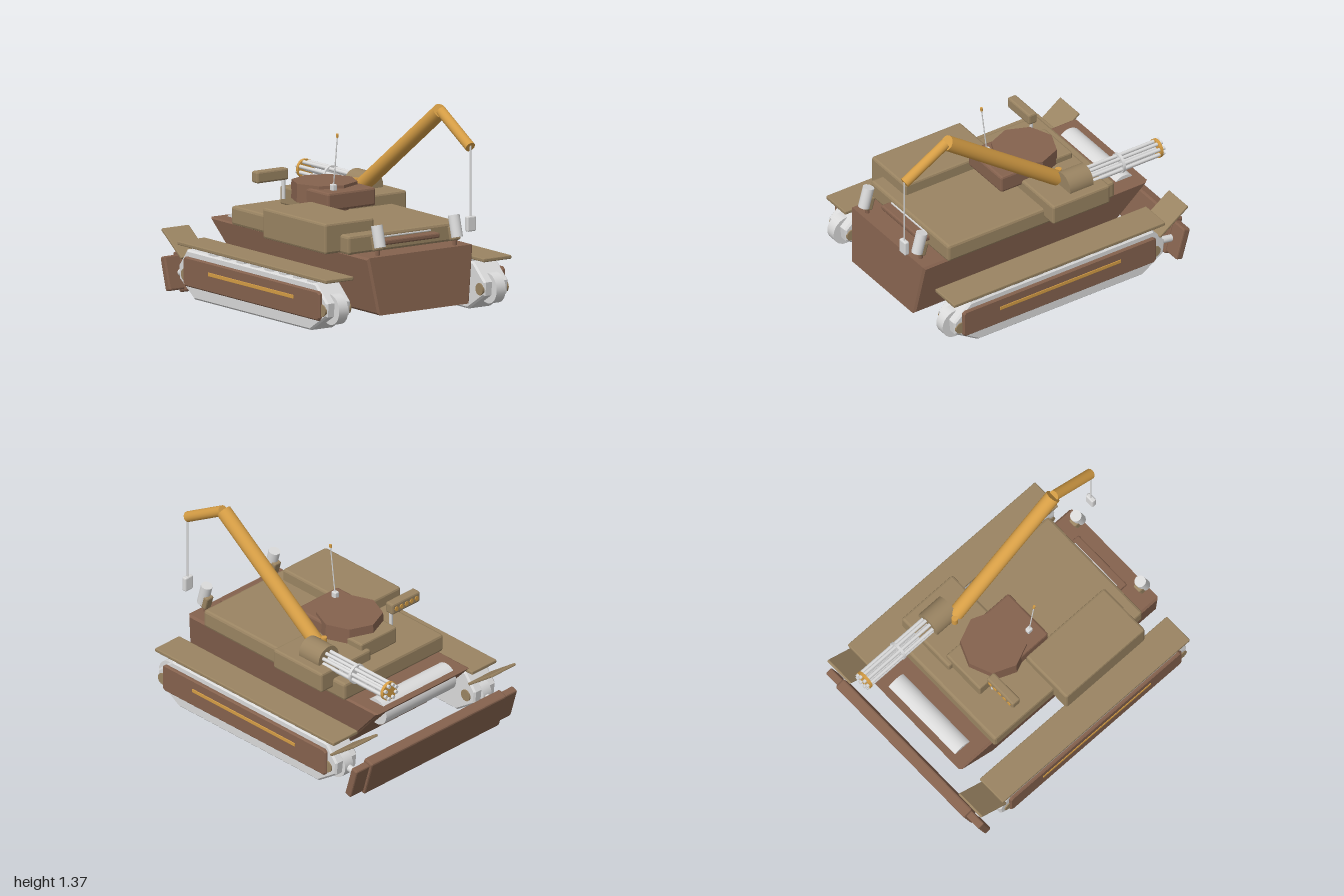
import * as THREE from 'three';
import { RoundedBoxGeometry } from 'three/addons/geometries/RoundedBoxGeometry.js';

export function createModel() {
  const model = new THREE.Group();
  const mat = (name, color) => Object.assign(new THREE.MeshStandardMaterial({ color }), { name });
  const brown = mat('brown', 0x85624e);
  const tan = mat('tan', 0x9a8462);
  const steel = mat('steel', 0xdadada);
  const yellow = mat('yellow', 0xd59d45);

  const add = (name, geo, material, parent = model) => {
    const m = new THREE.Mesh(geo, material);
    m.name = name;
    parent.add(m);
    return m;
  };

  // chamfered box from its minimum and maximum corners
  const box = (name, material, [x0, y0, z0], [x1, y1, z1], bevel = 0.012, parent = model) => {
    const s = [x1 - x0, y1 - y0, z1 - z0];
    const g = new RoundedBoxGeometry(...s, 1, Math.min(bevel, Math.min(...s) * 0.3));
    g.computeVertexNormals();
    const m = add(name, g, material, parent);
    m.position.set((x0 + x1) / 2, (y0 + y1) / 2, (z0 + z1) / 2);
    return m;
  };

  // cylinder between two points
  const rod = (name, material, a, b, r, sides = 20, parent = model) => {
    const p = new THREE.Vector3(...a), q = new THREE.Vector3(...b);
    const m = add(name, new THREE.CylinderGeometry(r, r, p.distanceTo(q), sides), material, parent);
    m.position.copy(p).add(q).multiplyScalar(0.5);
    m.quaternion.setFromUnitVectors(new THREE.Vector3(0, 1, 0), q.sub(p).normalize());
    return m;
  };

  // side profile of (z, y) points, extruded across x with a bevel
  const slab = (points, width, bevel) => {
    const shape = new THREE.Shape(points.map(([z, y]) => new THREE.Vector2(z, y)));
    const depth = width - 2 * bevel;
    return new THREE.ExtrudeGeometry(shape, {
      depth, bevelEnabled: true, bevelSegments: 1,
      bevelSize: bevel, bevelThickness: bevel, bevelOffset: -bevel,
    }).translate(0, 0, -depth / 2).rotateY(-Math.PI / 2);
  };

  // hull, narrower at the bottom
  const hull = slab([[0.93, 0.115], [0.89, 0.49], [-0.85, 0.49], [-0.52, 0.115]], 0.84, 0.015);
  const pos = hull.attributes.position;
  for (let i = 0; i < pos.count; i++) {
    pos.setX(i, pos.getX(i) * (0.86 + 0.14 * (pos.getY(i) - 0.115) / 0.375));
  }
  hull.computeVertexNormals();
  add('hull', hull, brown);

  // upper deck and its raised boxes
  box('deck', tan, [-0.45, 0.485, -0.575], [0.445, 0.61, 0.72], 0.018);
  box('rightDeckBox', tan, [-0.57, 0.49, -0.06], [-0.18, 0.69, 0.63], 0.015);
  box('gunPlatform', tan, [0.1, 0.545, -0.47], [0.55, 0.685, -0.025], 0.015);
  box('frontRail', brown, [-0.23, 0.535, 0.7], [0.23, 0.57, 0.785], 0.01);
  box('frontRailStrip', steel, [-0.2, 0.575, 0.715], [0.2, 0.585, 0.728], 0.002);

  // rear drum set into the hull
  rod('rearDrum', steel, [-0.315, 0.425, -0.735], [0.315, 0.425, -0.735], 0.092, 28);

  // central turret
  rod('turretRing', brown, [0, 0.6, -0.17], [0, 0.69, -0.17], 0.17, 24);
  const octagon = add('turretTop', new THREE.CylinderGeometry(0.215, 0.22, 0.12, 8).toNonIndexed(), brown);
  octagon.geometry.computeVertexNormals();
  octagon.position.set(0, 0.73, -0.17);
  box('turretFront', brown, [-0.19, 0.65, -0.14], [0.19, 0.77, 0.135], 0.015);
  box('turretRear', tan, [-0.16, 0.61, -0.44], [0.16, 0.73, -0.2]);

  // launcher pod with rear openings
  box('pod', tan, [-0.42, 0.788, -0.39], [-0.17, 0.865, -0.325]);
  rod('podPost', steel, [-0.19, 0.66, -0.355], [-0.19, 0.8, -0.355], 0.012, 12);
  for (let i = 0; i < 5; i++) {
    const x = -0.385 + i * 0.045;
    rod('podTube', yellow, [x, 0.826, -0.38], [x, 0.826, -0.395], 0.016, 12);
  }

  // antenna
  box('antennaBase', steel, [-0.108, 0.765, 0.035], [-0.074, 0.81, 0.075], 0.006);
  rod('antenna', steel, [-0.091, 0.8, 0.058], [-0.091, 1.125, 0.098], 0.004, 8);
  rod('antennaTip', yellow, [-0.091, 1.122, 0.097], [-0.091, 1.145, 0.1], 0.009, 10);

  // rotary gun
  const gun = new THREE.Group();
  gun.name = 'rotaryGun';
  model.add(gun);
  const gx = 0.397, gy = 0.702;
  rod('gunHousing', tan, [gx, gy, -0.38], [gx, gy, -0.2], 0.09, 24, gun);
  for (let i = 0; i < 8; i++) {
    const a = i * Math.PI / 4 + Math.PI / 8;
    const x = gx + 0.05 * Math.cos(a), y = gy + 0.05 * Math.sin(a);
    rod('barrel', steel, [x, y, -0.36], [x, y, -0.96], 0.0125, 12, gun);
  }
  rod('barrelCore', steel, [gx, gy, -0.36], [gx, gy, -0.93], 0.014, 12, gun);
  rod('barrelClamp', steel, [gx, gy, -0.63], [gx, gy, -0.648], 0.068, 24, gun);
  rod('muzzleRing', yellow, [gx, gy, -0.922], [gx, gy, -0.943], 0.065, 24, gun);

  // crane with hanging weight
  const cx = 0.328;
  rod('craneBoom', yellow, [cx, 0.72, -0.2], [cx, 1.335, 0.652], 0.051, 24);
  rod('craneJib', yellow, [cx, 1.335, 0.66], [cx, 1.15, 0.98], 0.035, 20);
  rod('cranePin', yellow, [cx - 0.03, 0.69, -0.235], [cx - 0.03, 0.76, -0.235], 0.022, 12);
  rod('craneCable', steel, [cx, 1.16, 0.983], [cx, 0.69, 0.983], 0.006, 8);
  box('craneWeight', steel, [cx - 0.034, 0.6, 0.966], [cx + 0.034, 0.7, 1], 0.008);

  // blade across the rear, leaning back
  const blade = new THREE.Group();
  blade.name = 'rearBlade';
  box('bladeCentre', brown, [-0.61, -0.132, -0.038], [0.61, 0.132, 0.038], 0.012, blade);
  box('bladeEnds', brown, [-0.725, -0.115, -0.022], [0.725, 0.11, 0.03], 0.01, blade);
  blade.position.set(0, 0.142, -0.922);
  blade.rotation.x = -0.28;
  model.add(blade);

  // parts repeated on both sides
  const trackBody = slab([[0.73, 0.335], [0.86, 0.22], [0.85, 0.13], [0.67, 0.02],
    [-0.61, 0.02], [-0.77, 0.13], [-0.78, 0.22], [-0.69, 0.335]], 0.19, 0.012);
  const skirt = slab([[0.8, 0.12], [0.8, 0.275], [0.78, 0.292], [-0.68, 0.292],
    [-0.7, 0.275], [-0.7, 0.12], [-0.68, 0.1], [0.78, 0.1]], 0.03, 0.008);
  for (const s of [1, -1]) {
    const side = new THREE.Group();
    side.name = s > 0 ? 'leftTrack' : 'rightTrack';
    model.add(side);
    const span = (name, m, xa, xb, y0, y1, z0, z1, b) =>
      box(name, m, [Math.min(s * xa, s * xb), y0, z0], [Math.max(s * xa, s * xb), y1, z1], b, side);

    add('trackBody', trackBody, steel, side).position.x = s * 0.624;
    add('sideSkirt', skirt, brown, side).position.x = s * 0.725;
    span('skirtStripe', yellow, 0.737, 0.744, 0.205, 0.23, -0.42, 0.52, 0.002);
    for (let i = 0; i < 8; i++) {
      const z = 0.66 - i * 0.155;
      span('trackTooth', steel, 0.54, 0.71, 0.325, 0.355, z - 0.04, z + 0.04, 0.006);
    }
    span('fender', tan, 0.515, 0.735, 0.355, 0.38, -0.77, 0.87, 0.006);

    // upturned flap behind the fender
    const flap = span('rearFlap', tan, 0.515, 0.73, -0.009, 0.009, -0.135, 0.135, 0.005);
    flap.position.set(s * 0.622, 0.35, -0.842);
    flap.rotation.x = 0.63;

    // end wheels with hubs
    for (const z of [0.81, -0.7]) {
      rod('wheel', steel, [s * 0.588, 0.17, z], [s * 0.66, 0.17, z], 0.1, 24, side);
      rod('wheelHub', tan, [s * 0.52, 0.17, z], [s * 0.727, 0.17, z], 0.04, 16, side);
    }
    rod('bladeArm', steel, [s * 0.62, 0.17, -0.72], [s * 0.62, 0.14, -0.9], 0.024, 12, side);

    // tilted front lamp on its bracket
    rod('lamp', steel, [s * 0.305, 0.545, 0.868], [s * 0.305, 0.685, 0.83], 0.038, 20, side);
    const bracket = box('lampBracket', tan, [s * 0.305 - 0.03, 0.52, 0.805], [s * 0.305 + 0.03, 0.615, 0.86], 0.01, side);
    bracket.rotation.x = -0.28;
    rod('lampPost', brown, [s * 0.305, 0.48, 0.84], [s * 0.305, 0.56, 0.84], 0.015, 10, side);
  }
  return model;
}
